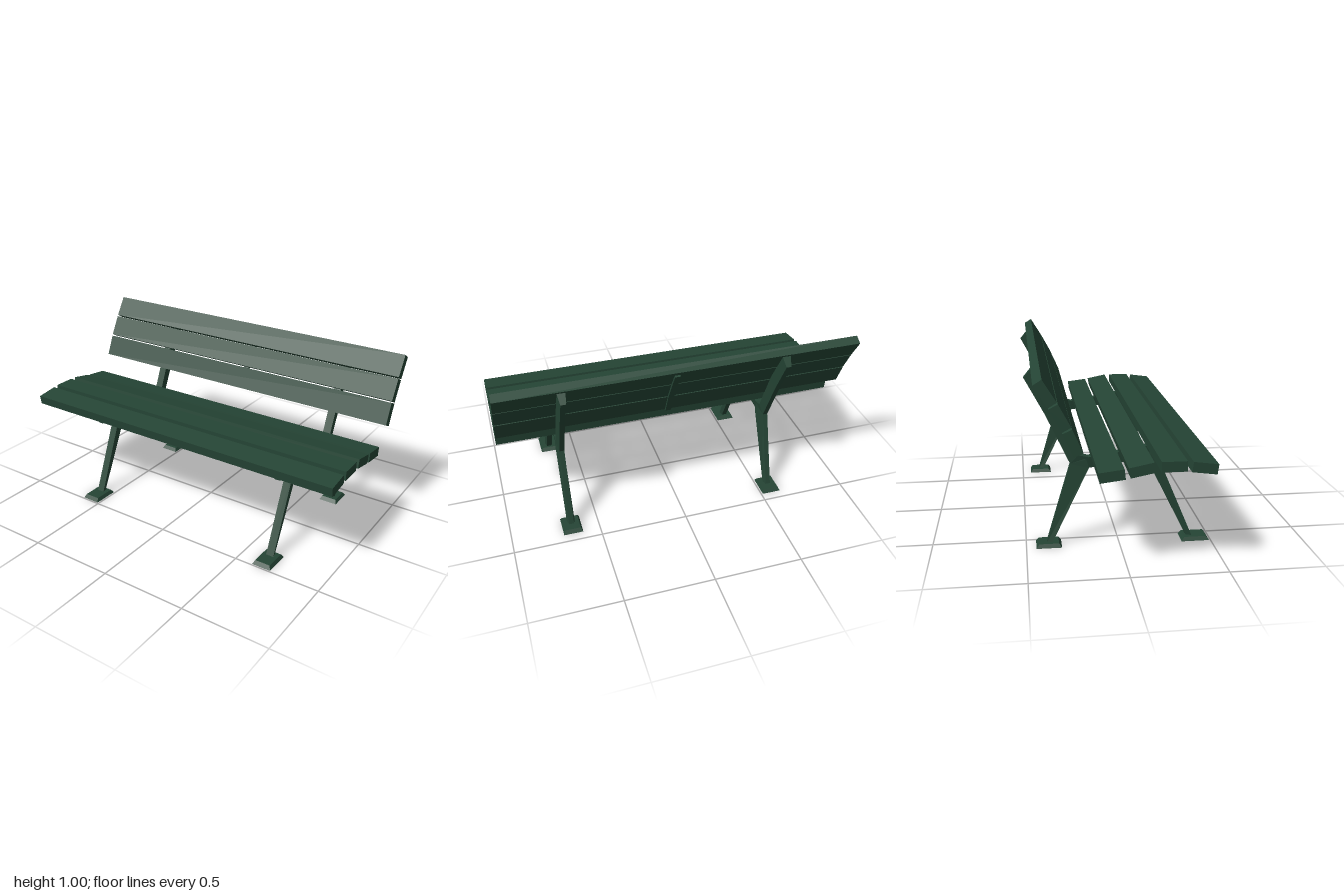
import * as THREE from 'three';

const green = new THREE.MeshStandardMaterial({ color: 0x254535, flatShading: true });
green.name = 'darkGreen';

// Four-sided bar through sections [frontZ, frontY, backZ, backY], with separate front and back widths
function bar(name, sections, frontWidth, backWidth) {
  const rings = sections.map(([fz, fy, bz, by]) => [
    [-frontWidth / 2, fy, fz], [frontWidth / 2, fy, fz],
    [backWidth / 2, by, bz], [-backWidth / 2, by, bz],
  ]);
  const pos = [];
  const quad = (a, b, c, d) => pos.push(...a, ...b, ...c, ...a, ...c, ...d);
  for (let i = 0; i < rings.length - 1; i++) {
    for (let j = 0; j < 4; j++) {
      const k = (j + 1) % 4;
      quad(rings[i][j], rings[i][k], rings[i + 1][k], rings[i + 1][j]);
    }
  }
  const first = rings[0], last = rings[rings.length - 1];
  quad(first[3], first[2], first[1], first[0]);
  quad(last[0], last[1], last[2], last[3]);
  const geometry = new THREE.BufferGeometry();
  geometry.setAttribute('position', new THREE.Float32BufferAttribute(pos, 3));
  geometry.computeVertexNormals();
  const mesh = new THREE.Mesh(geometry, green);
  mesh.name = name;
  return mesh;
}

// Full-length plank centred at (z, y), its width running along (dz, dy)
function slat(name, z, y, dz, dy, width, thickness) {
  const mesh = new THREE.Mesh(new THREE.BoxGeometry(2, thickness, width), green);
  mesh.name = name;
  mesh.position.set(0, y, z);
  mesh.rotation.x = Math.atan2(-dy, dz);
  return mesh;
}

// Foot plate with sloping edges
function foot(name, z0, z1) {
  const inset = 0.015;
  const mesh = bar(name, [[z1, 0, z0, 0], [z1 - inset, 0.021, z0 + inset, 0.021]], 0.11, 0.11);
  const p = mesh.geometry.attributes.position;
  for (let i = 0; i < p.count; i++) if (p.getY(i) > 0.01) p.setX(i, p.getX(i) * 0.82);
  mesh.geometry.computeVertexNormals();
  return mesh;
}

// Side support: seat arm bending up into the back post, two legs and their feet
function support(name, x) {
  const group = new THREE.Group();
  group.name = name;
  group.position.x = x;
  group.add(
    bar('armAndPost', [
      [0.367, 0.52, 0.354, 0.474],
      [0.287, 0.539, 0.207, 0.479],
      [0.136, 0.542, 0.141, 0.481],
      [-0.024, 0.51, -0.013, 0.449],
      [-0.165, 0.492, -0.162, 0.431],
      [-0.218, 0.505, -0.26, 0.457],
      [-0.32, 0.747, -0.385, 0.726],
      [-0.452, 0.968, -0.49, 0.923],
    ], 0.046, 0.028),
    bar('frontLeg', [[0.402, 0.015, 0.372, 0.015], [0.207, 0.479, 0.141, 0.481], [0.19, 0.51, 0.14, 0.51]], 0.045, 0.03),
    bar('rearLeg', [[-0.362, 0.015, -0.391, 0.015], [-0.162, 0.432, -0.26, 0.457], [-0.175, 0.48, -0.235, 0.49]], 0.045, 0.028),
    foot('frontFoot', 0.34, 0.492),
    foot('rearFoot', -0.447, -0.311),
  );
  return group;
}

export function createModel() {
  const model = new THREE.Group();
  model.name = 'bench';

  model.add(support('rightSupport', -0.565), support('leftSupport', 0.655));

  // Seat slats, front to rear
  [
    [0.357, 0.552, 0.125, -0.017],
    [0.207, 0.565, 0.125, 0],
    [0.053, 0.553, 0.122, 0.024],
    [-0.092, 0.529, 0.125, 0.015],
  ].forEach((s, i) => model.add(slat('seatSlat' + (i + 1), ...s, 0.125, 0.052)));

  // Back slats, bottom to top
  [
    [-0.2745, 0.697, -0.052, 0.118],
    [-0.333, 0.819, -0.061, 0.113],
    [-0.4, 0.9355, -0.066, 0.108],
  ].forEach((s, i) => model.add(slat('backSlat' + (i + 1), ...s, 0.127, 0.05)));

  // Thin strip joining the back slats in the middle
  const line = [[-0.271, 0.632], [-0.321, 0.749], [-0.386, 0.866], [-0.44, 0.957]];
  const strip = bar('backBatten', line.map(([z, y]) => [z + 0.005, y, z - 0.012, y - 0.006]), 0.032, 0.032);
  strip.position.x = 0.045;
  model.add(strip);

  return model;
}
